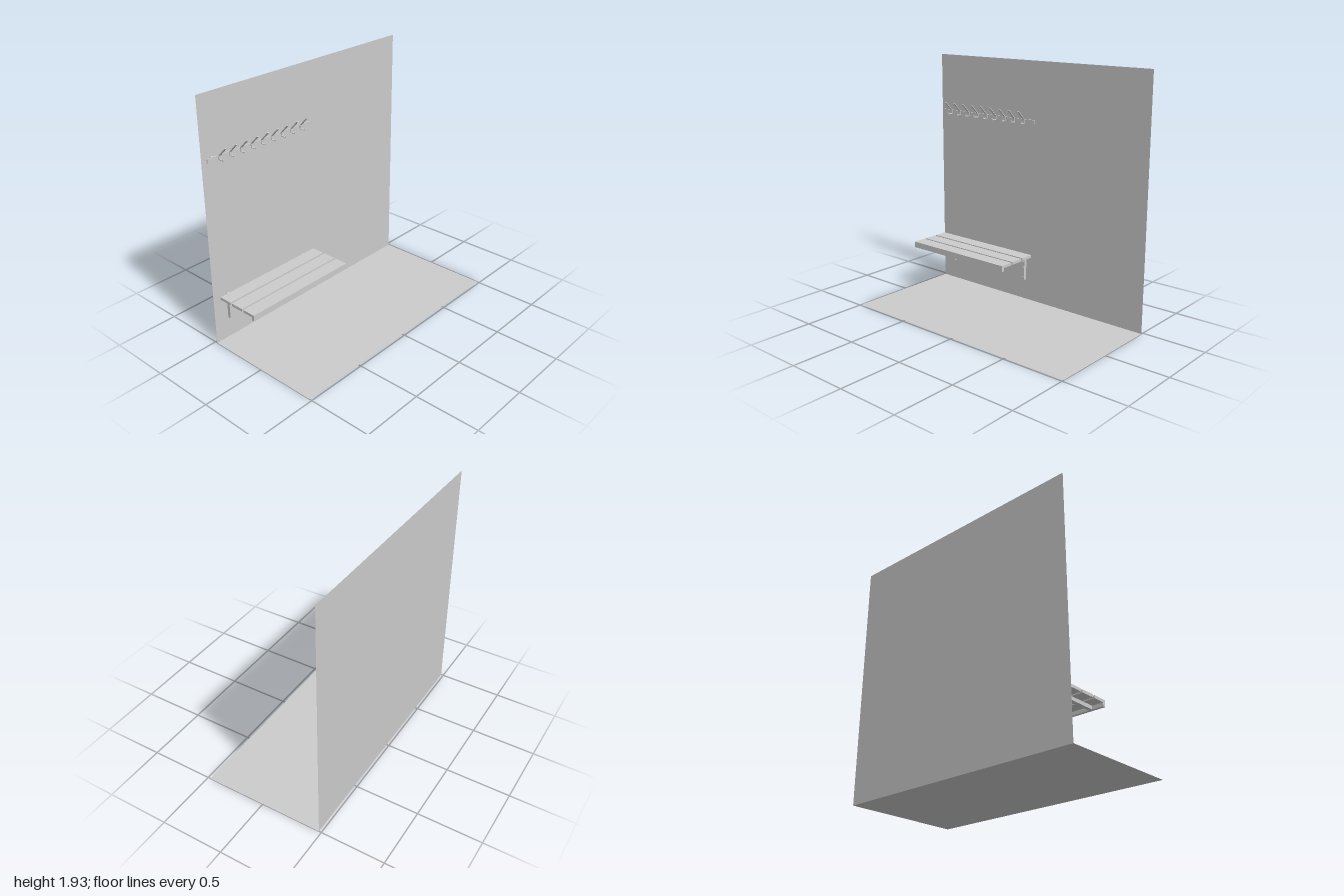
import * as THREE from 'three';

const grey = new THREE.MeshStandardMaterial({ color: 0xcccccc });
const greyThin = new THREE.MeshStandardMaterial({ color: 0xcccccc, side: THREE.DoubleSide });

const BACK = -0.48;      // wall plane
const MID = -0.485;      // centre of bench and rail in x
const LENGTH = 0.96;

function add(parent, name, geometry, material = grey) {
  const mesh = new THREE.Mesh(geometry, material);
  mesh.name = name;
  parent.add(mesh);
  return mesh;
}

// Box given by its minimum and maximum corners
function box(parent, name, [x0, y0, z0], [x1, y1, z1]) {
  const mesh = add(parent, name, new THREE.BoxGeometry(x1 - x0, y1 - y0, z1 - z0));
  mesh.position.set((x0 + x1) / 2, (y0 + y1) / 2, (z0 + z1) / 2);
  return mesh;
}

// Extrudes an outline drawn as [z, y] points along x, centred on x = 0
function sideProfile(points, width) {
  const shape = new THREE.Shape(points.map(([z, y]) => new THREE.Vector2(-z, y)));
  const g = new THREE.ExtrudeGeometry(shape, { depth: width, bevelEnabled: false });
  return g.translate(0, 0, -width / 2).rotateY(Math.PI / 2);
}

function createBracket() {
  const bracket = new THREE.Group();
  bracket.name = 'bracket';
  const w = 0.026;
  // Arm and upper corner
  box(bracket, 'bracketArm', [-w / 2, 0.353, BACK + 0.001], [w / 2, 0.379, -0.105]);
  // Leg against the wall with screw holes
  const leg = new THREE.Shape([[-w / 2, 0.168], [w / 2, 0.168], [w / 2, 0.353], [-w / 2, 0.353]]
    .map(([x, y]) => new THREE.Vector2(x, y)));
  for (const y of [0.193, 0.278, 0.323]) {
    const hole = new THREE.Path();
    hole.absarc(0, y, 0.005, 0, Math.PI * 2, true);
    leg.holes.push(hole);
  }
  const legGeo = new THREE.ExtrudeGeometry(leg, { depth: w, bevelEnabled: false, curveSegments: 8 });
  add(bracket, 'bracketLeg', legGeo.translate(0, 0, BACK + 0.001));
  return bracket;
}

function createBench() {
  const bench = new THREE.Group();
  bench.name = 'bench';
  const x0 = MID - LENGTH / 2, x1 = MID + LENGTH / 2;
  // Front slat with a lip that covers the arm ends
  const front = add(bench, 'frontSlat', sideProfile([
    [-0.195, 0.379], [-0.195, 0.4], [-0.085, 0.4],
    [-0.085, 0.352], [-0.105, 0.352], [-0.105, 0.379],
  ], LENGTH));
  front.position.x = MID;
  // Two flat slats behind it
  for (const z of [-0.318, -0.442]) {
    box(bench, 'seatSlat', [x0, 0.379, z], [x1, 0.4, z + 0.108]);
  }
  for (const x of [-0.866, -0.097]) {
    const bracket = createBracket();
    bracket.position.x = x;
    bench.add(bracket);
  }
  return bench;
}

function createCoatRack() {
  const rack = new THREE.Group();
  rack.name = 'coatRack';
  box(rack, 'rail', [MID - 0.484, 1.449, -0.459], [MID + 0.484, 1.48, -0.45]);
  // Spacers between wall and rail
  for (const x of [-0.918, MID, -0.051]) {
    box(rack, 'spacer', [x - 0.013, 1.452, BACK + 0.001], [x + 0.013, 1.477, -0.459]);
  }
  // Bent strip hooks: sloping upper prong, flat lower prong with a lip
  const hookGeo = sideProfile([
    [-0.45, 1.447], [-0.45, 1.479], [-0.381, 1.549], [-0.377, 1.545],
    [-0.444, 1.477], [-0.444, 1.452], [-0.408, 1.452], [-0.408, 1.463],
    [-0.403, 1.463], [-0.403, 1.447],
  ], 0.016);
  for (let i = 0; i < 9; i++) {
    add(rack, 'hook', hookGeo).position.x = -0.867 + i * 0.0962;
  }
  return rack;
}

export function createModel() {
  const model = new THREE.Group();
  model.name = 'wallBenchWithCoatRack';
  // Wall and floor sheets
  const wall = add(model, 'wall', new THREE.PlaneGeometry(2, 1.93), greyThin);
  wall.position.set(0, 0.965, BACK);
  const floor = add(model, 'floor', new THREE.PlaneGeometry(2, 0.96).rotateX(-Math.PI / 2), greyThin);
  floor.position.set(0, 0, 0);
  model.add(createBench(), createCoatRack());
  return model;
}
